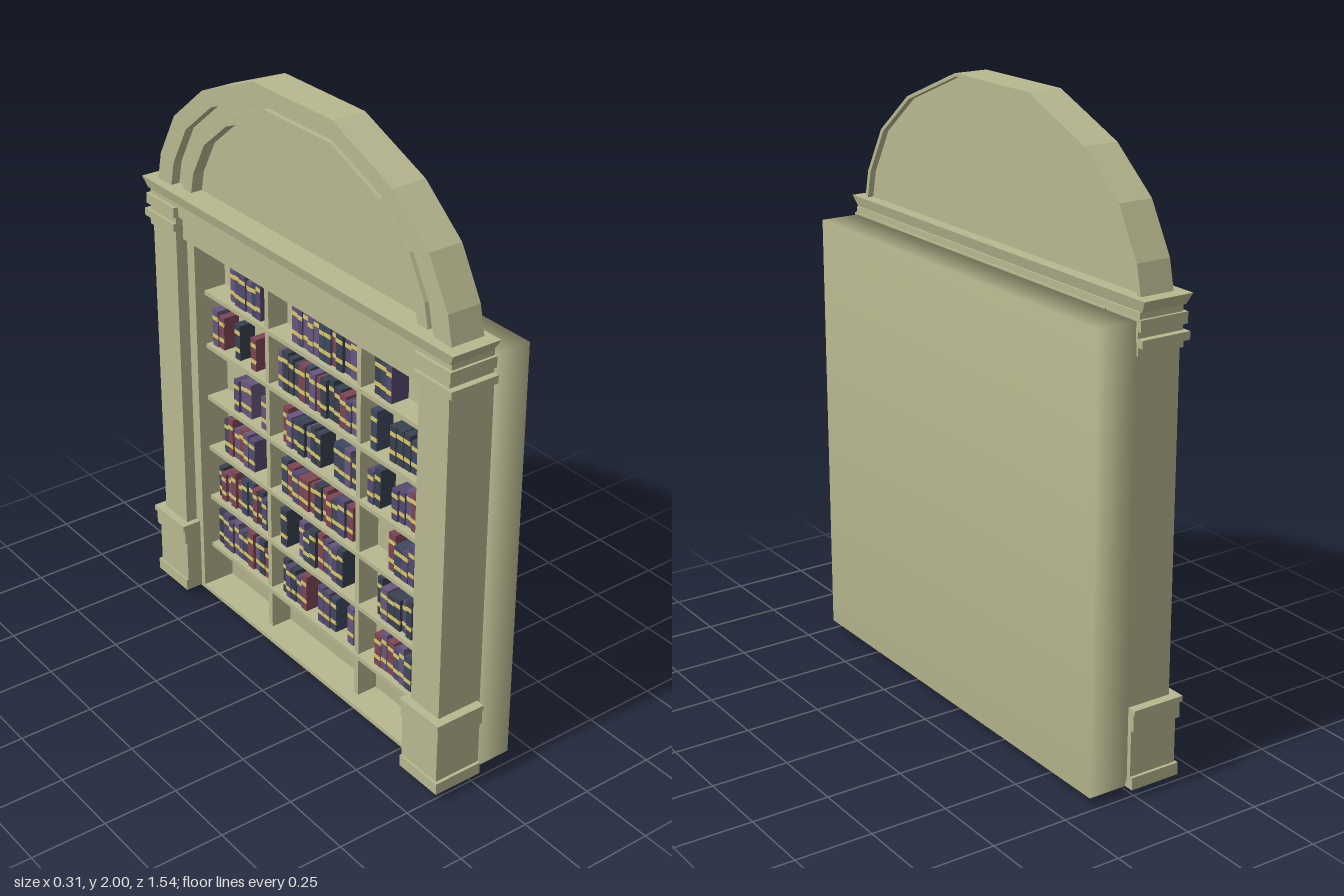
import * as THREE from 'three';
import { mergeVertices } from 'three/addons/utils/BufferGeometryUtils.js';

const paint = (color) => new THREE.MeshStandardMaterial({ color });
const stone = paint(0xb8b890);
const covers = [0x67567c, 0x3f4862, 0x7d4654, 0x544a70, 0x39404f].map(paint);
const gold = paint(0xd6c766);

// Box given by its lower and upper limits on each axis
function box(parent, name, [x0, x1], [y0, y1], [z0, z1], material = stone) {
  const mesh = new THREE.Mesh(new THREE.BoxGeometry(x1 - x0, y1 - y0, z1 - z0), material);
  mesh.position.set((x0 + x1) / 2, (y0 + y1) / 2, (z0 + z1) / 2);
  mesh.name = name;
  parent.add(mesh);
  return mesh;
}

// Half outline of the arch as (z, y above the springing line)
const HALF = [[0.725, 0], [0.705, 0.09], [0.62, 0.24], [0.46, 0.37], [0.19, 0.48]];
const SPRING = 1.52;
function archOutline(inset) {
  const k = 1 - inset / 0.725;
  const right = HALF.map(([z, y]) => new THREE.Vector2(z * k, SPRING + y * k));
  const left = right.map((p) => new THREE.Vector2(-p.x, p.y)).reverse();
  return [...right, ...left];
}

// Arch slab or ring between two x positions
function arch(parent, name, outer, inner, x0, x1) {
  const points = archOutline(outer);
  const shape = new THREE.Shape(inner === null ? points : [...points, ...archOutline(inner).reverse()]);
  const geo = new THREE.ExtrudeGeometry(shape, { depth: x1 - x0, bevelEnabled: false });
  geo.rotateY(-Math.PI / 2).translate(x1, 0, 0);
  const mesh = new THREE.Mesh(geo, stone);
  mesh.name = name;
  parent.add(mesh);
}

function seeded(seed) {
  return () => (seed = (seed * 16807) % 2147483647) / 2147483647;
}

export function createModel() {
  const model = new THREE.Group();
  model.name = 'bookcase';
  const group = (name) => {
    const g = new THREE.Group();
    g.name = name;
    model.add(g);
    return g;
  };

  // Deep back body with soft shading
  const body = box(model, 'backBody', [0.025, 0.155], [0.035, 1.46], [-0.74, 0.74]);
  const soft = body.geometry.clone();
  soft.deleteAttribute('normal');
  soft.deleteAttribute('uv');
  body.geometry = mergeVertices(soft);
  body.geometry.computeVertexNormals();

  // Columns, with pedestals and capitals made of stacked slabs: y0, y1, front x, outer z
  const pedestal = [
    [0.03, 0.07, -0.152, 0.765], [0.07, 0.22, -0.145, 0.755],
    [0.22, 0.272, -0.152, 0.765], [0.272, 0.29, -0.158, 0.77],
  ];
  const capital = [
    [1.36, 1.385, -0.137, 0.747], [1.385, 1.41, -0.145, 0.766],
    [1.41, 1.43, -0.135, 0.745], [1.43, 1.465, -0.143, 0.757],
  ];
  for (const s of [-1, 1]) {
    const side = group(s > 0 ? 'leftColumn' : 'rightColumn');
    const span = (a, b) => (s > 0 ? [a, b] : [-b, -a]);
    box(side, 'shaft', [-0.13, 0.03], [0.05, 1.4], span(0.61, 0.74));
    box(side, 'jamb', [-0.09, 0.03], [0.035, 1.38], span(0.57, 0.61));
    for (const [y0, y1, x, z] of pedestal) box(side, 'pedestal', [x, 0.02], [y0, y1], span(0.59, z));
    for (const [y0, y1, x, z] of capital) box(side, 'capital', [x, 0.022], [y0, y1], span(0.6, z));
  }

  // Entablature across the top of the case
  const top = group('entablature');
  box(top, 'frieze', [-0.11, 0.025], [1.35, 1.43], [-0.6, 0.6]);
  box(top, 'architrave', [-0.125, 0.025], [1.43, 1.465], [-0.6, 0.6]);
  box(top, 'neck', [-0.132, 0.02], [1.465, 1.485], [-0.748, 0.748]);
  const cornice = box(top, 'cornice', [-0.148, 0.022], [1.485, 1.52], [-0.77, 0.77]);
  const pos = cornice.geometry.attributes.position;
  for (let i = 0; i < pos.count; i++) {
    if (pos.getY(i) < 0) pos.setXYZ(i, pos.getX(i) * 0.9, pos.getY(i), pos.getZ(i) * 0.975);
  }
  cornice.geometry.computeVertexNormals();

  // Arched pediment: stepped rings in front, shallow recess behind
  const pediment = group('pediment');
  arch(pediment, 'outerRing', 0, 0.075, -0.115, -0.02);
  arch(pediment, 'middleRing', 0.075, 0.12, -0.085, -0.02);
  arch(pediment, 'innerRing', 0.12, 0.165, -0.1, -0.02);
  arch(pediment, 'panel', 0.165, null, -0.06, -0.02);
  arch(pediment, 'backRim', 0, 0.015, -0.02, 0);

  // Shelves and upright dividers
  const shelving = group('shelving');
  const rows = 6, firstShelf = 0.2, pitch = 0.193;
  box(shelving, 'floor', [-0.09, 0.03], [0.025, 0.04], [-0.6, 0.6]);
  for (let r = 0; r < rows; r++) {
    const y = firstShelf + r * pitch;
    box(shelving, 'shelf', [-0.055, 0.03], [y - 0.015, y], [-0.58, 0.58]);
  }
  for (const z of [-0.235, 0.235]) {
    box(shelving, 'divider', [-0.048, 0.03], [0, 1.36], [z - 0.01, z + 0.01]);
  }

  // Rows of banded books, with gaps here and there
  const books = group('books');
  const rand = seeded(41);
  for (let r = 0; r < rows; r++) {
    const y = firstShelf + r * pitch;
    for (const [start, end] of [[-0.56, -0.25], [-0.22, 0.22], [0.25, 0.56]]) {
      let z = start + rand() * 0.06;
      while (z < end - 0.035) {
        if (rand() < 0.12) {
          z += 0.06;
          continue;
        }
        const w = 0.022 + rand() * 0.012;
        const h = 0.105 + rand() * 0.035;
        const x = -0.04 + rand() * 0.012;
        const cover = covers[Math.floor(rand() * covers.length)];
        box(books, 'book', [x, 0.026], [y, y + h], [z, z + w], cover);
        for (const t of [0.22, 0.72]) {
          box(books, 'spineBand', [x - 0.001, x + 0.004], [y + h * t, y + h * t + 0.014], [z, z + w], gold);
        }
        z += w + 0.002;
      }
    }
  }
  return model;
}
